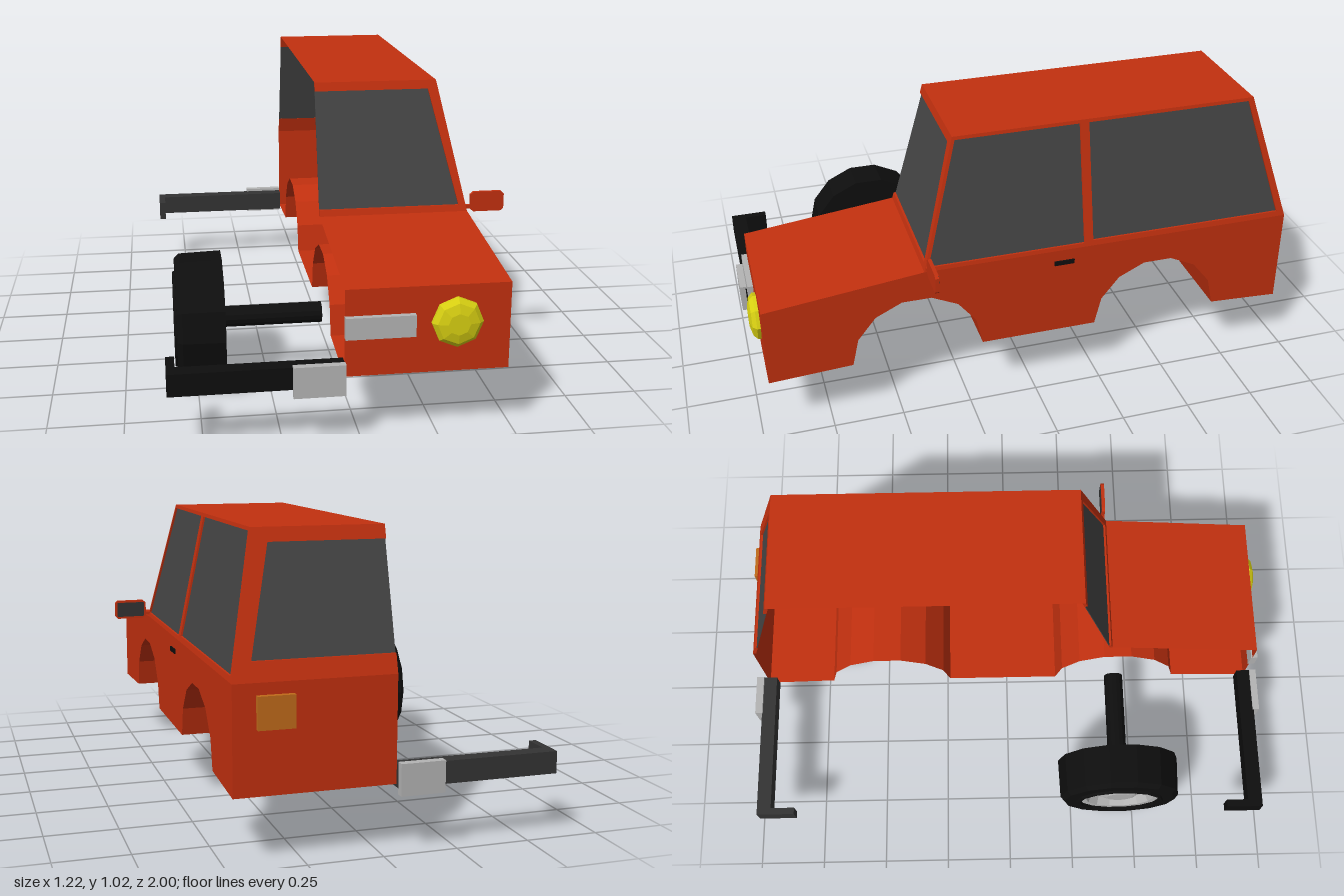
import * as THREE from 'three';

const mat = (color) => new THREE.MeshStandardMaterial({ color, flatShading: true, side: THREE.DoubleSide });
const CUT = -0.055;   // open inner edge of the half body
const SIDE = 0.475;   // outer flank of the body
const WAIST = 0.578;  // height where the cabin starts to lean in
const ROOF = 1.03;
const SKIN = 0.012;   // sheet thickness
const AXLE_Y = 0.235;

export function createModel() {
  const car = new THREE.Group();
  car.name = 'halfCar';
  const red = mat(0xc2300f), glass = mat(0x444444), black = mat(0x0e0e0e), darkGrey = mat(0x333333);
  const silver = mat(0xb4b4b4), yellow = mat(0xd8d012), orange = mat(0xc06a1a);

  const add = (name, geometry, material, parent = car) => {
    const mesh = new THREE.Mesh(geometry, material);
    mesh.name = name;
    parent.add(mesh);
    return mesh;
  };

  // box given by its two corners
  const box = (name, material, x0, x1, y0, y1, z0, z1) => {
    const m = add(name, new THREE.BoxGeometry(x1 - x0, y1 - y0, z1 - z0), material);
    m.position.set((x0 + x1) / 2, (y0 + y1) / 2, (z0 + z1) / 2);
    return m;
  };

  const points = (list) => list.map(([a, b]) => new THREE.Vector2(a, b));

  // flat panel drawn in 2D, given thickness and placed by a rule (a, b, depth) -> [x, y, z]
  const panel = (name, material, outline, holes, place, depth = SKIN) => {
    const shape = new THREE.Shape(points(outline));
    holes.forEach((h) => shape.holes.push(new THREE.Path(points(h))));
    const g = new THREE.ExtrudeGeometry(shape, { depth, bevelEnabled: false });
    const p = g.attributes.position;
    for (let i = 0; i < p.count; i++) p.setXYZ(i, ...place(p.getX(i), p.getY(i), p.getZ(i)));
    g.computeVertexNormals();
    return add(name, g, material);
  };

  // leaning surfaces of the cabin
  const lean = (y) => (y - WAIST) / (ROOF - WAIST);
  const flankX = (y) => SIDE - 0.095 * lean(y);
  const frontZ = (y) => 0.40 - 0.13 * lean(y);
  const backZ = (y) => -0.96 + 0.13 * lean(y);
  const onFlank = (inset) => (z, y, d) => [flankX(y) - d - inset, y, z];
  const onFront = (inset) => (x, y, d) => [x, y, frontZ(y) - d - inset];
  const onBack = (inset) => (x, y, d) => [x, y, backZ(y) + d + inset];

  // seven-sided wheel arch running from front to back
  const arch = (cz) => Array.from({ length: 8 }, (_, i) => {
    const a = (i / 7) * Math.PI;
    return [cz + 0.235 * Math.cos(a), 0.24 + 0.235 * Math.sin(a)];
  });
  const underside = [[0.96, 0.225], ...arch(0.43), ...arch(-0.465), [-0.96, 0.225]];

  // lower flank with both arches
  panel('lowerSide', red, [...underside, [-0.96, WAIST], [0.40, WAIST], [0.96, 0.515]], [],
    (z, y, d) => [SIDE - d, y, z]);

  // sheet swept across the body width along a (z, y) path
  const sheet = (name, path, outerX) => {
    const pos = [], idx = [];
    path.forEach(([z, y], i) => {
      pos.push(CUT, y, z, outerX, y, z);
      const k = 2 * i;
      if (i) idx.push(k - 2, k, k - 1, k - 1, k, k + 1);
    });
    const g = new THREE.BufferGeometry();
    g.setAttribute('position', new THREE.Float32BufferAttribute(pos, 3));
    g.setIndex(idx);
    g.computeVertexNormals();
    return add(name, g, red);
  };
  sheet('floorAndArches', underside, SIDE);
  sheet('noseAndBonnet', [[0.96, 0.225], [0.96, 0.515], [0.40, WAIST]], SIDE);
  sheet('tailPanel', [[-0.96, WAIST], [-0.96, 0.225]], SIDE);
  sheet('roof', [[0.27, ROOF], [-0.83, ROOF]], 0.38);

  // cabin side with two windows
  const sideWindows = [
    [[0.385, 0.592], [-0.18, 0.592], [-0.18, 1.018], [0.263, 1.018]],
    [[-0.213, 0.597], [-0.928, 0.597], [-0.812, 1.018], [-0.213, 1.018]],
  ];
  panel('cabinSide', red, [[0.40, WAIST], [0.27, ROOF], [-0.83, ROOF], [-0.96, WAIST]], sideWindows, onFlank(0));
  sideWindows.forEach((w, i) => panel(['frontSideWindow', 'rearSideWindow'][i], glass, w, [], onFlank(0.007), 0.003));

  // front and rear window frames, open at the cut
  const endWindow = (name, base, top, y0, y1, place) => {
    panel(name + 'Frame', red, [[CUT, WAIST], [SIDE, WAIST], [0.38, ROOF], [CUT, ROOF],
      [CUT, y1], [top, y1], [base, y0], [CUT, y0]], [], place(0));
    panel(name, glass, [[CUT, y0], [base, y0], [top, y1], [CUT, y1]], [], place(0.008), 0.003);
  };
  endWindow('windscreen', 0.445, 0.35, 0.60, 1.0, onFront);
  endWindow('rearWindow', 0.41, 0.33, 0.64, 0.985, onBack);

  // nose, tail and flank details
  box('grille', silver, CUT, 0.168, 0.355, 0.427, 0.955, 0.98);
  const lampProfile = points([[0.083, 0], [0.083, 0.014], [0.068, 0.028], [0.036, 0.036], [0, 0.036]]);
  const lamp = add('headlight', new THREE.LatheGeometry(lampProfile, 8), yellow);
  lamp.rotation.x = Math.PI / 2;
  lamp.position.set(0.302, 0.393, 0.958);
  box('tailLight', orange, 0.28, 0.40, 0.435, 0.54, -0.98, -0.955);
  box('doorHandle', black, 0.47, 0.481, 0.52, 0.536, -0.142, -0.068);

  // door mirror with clipped corners
  const mirrorShape = (e) => [[0.50, 0.573 + e], [0.60, 0.573 + e], [0.61 - e, 0.583], [0.61 - e, 0.635],
    [0.60, 0.645 - e], [0.50, 0.645 - e], [0.488 + e, 0.635], [0.488 + e, 0.583]];
  panel('mirrorHousing', red, mirrorShape(0), [], (x, y, d) => [x, y, 0.38 + d], 0.013);
  panel('mirrorGlass', darkGrey, mirrorShape(0.008), [], (x, y, d) => [x, y, 0.378 + d], 0.003);
  box('mirrorArm', red, 0.46, 0.495, 0.585, 0.597, 0.38, 0.393);

  // bumpers: bar, wrapped end and bright plate
  box('frontBumperBar', black, -0.61, CUT, 0.20, 0.275, 0.925, 0.98);
  box('frontBumperEnd', black, -0.61, -0.582, 0.20, 0.275, 0.843, 0.925);
  box('frontBumperPlate', silver, -0.22, CUT, 0.178, 0.282, 0.975, 1.0);
  box('rearBumperBar', darkGrey, -0.61, CUT, 0.215, 0.29, -0.975, -0.922);
  box('rearBumperEnd', darkGrey, -0.61, -0.585, 0.215, 0.29, -0.922, -0.832);
  box('rearBumperPlate', silver, -0.205, CUT, 0.195, 0.30, -1.0, -0.972);

  // wheel turned about the axle; profiles are (radius, distance outward)
  const wheel = new THREE.Group();
  wheel.name = 'frontWheel';
  wheel.rotation.z = Math.PI / 2;
  wheel.position.set(0, AXLE_Y, 0.43);
  car.add(wheel);
  const turned = (name, profile, sides, material) =>
    add(name, new THREE.LatheGeometry(points(profile), sides), material, wheel);
  turned('tyre', [[0.037, 0.405], [0.235, 0.405], [0.23, 0.55], [0.215, 0.567], [0.17, 0.567],
    [0.167, 0.575], [0.155, 0.575], [0.152, 0.545]], 14, black);
  turned('rim', [[0.153, 0.562], [0.13, 0.562], [0.118, 0.53], [0.072, 0.53], [0.066, 0.55],
    [0.05, 0.556], [0, 0.556]], 14, silver);
  turned('axle', [[0.037, -CUT], [0.037, 0.53]], 14, black);

  return car;
}
